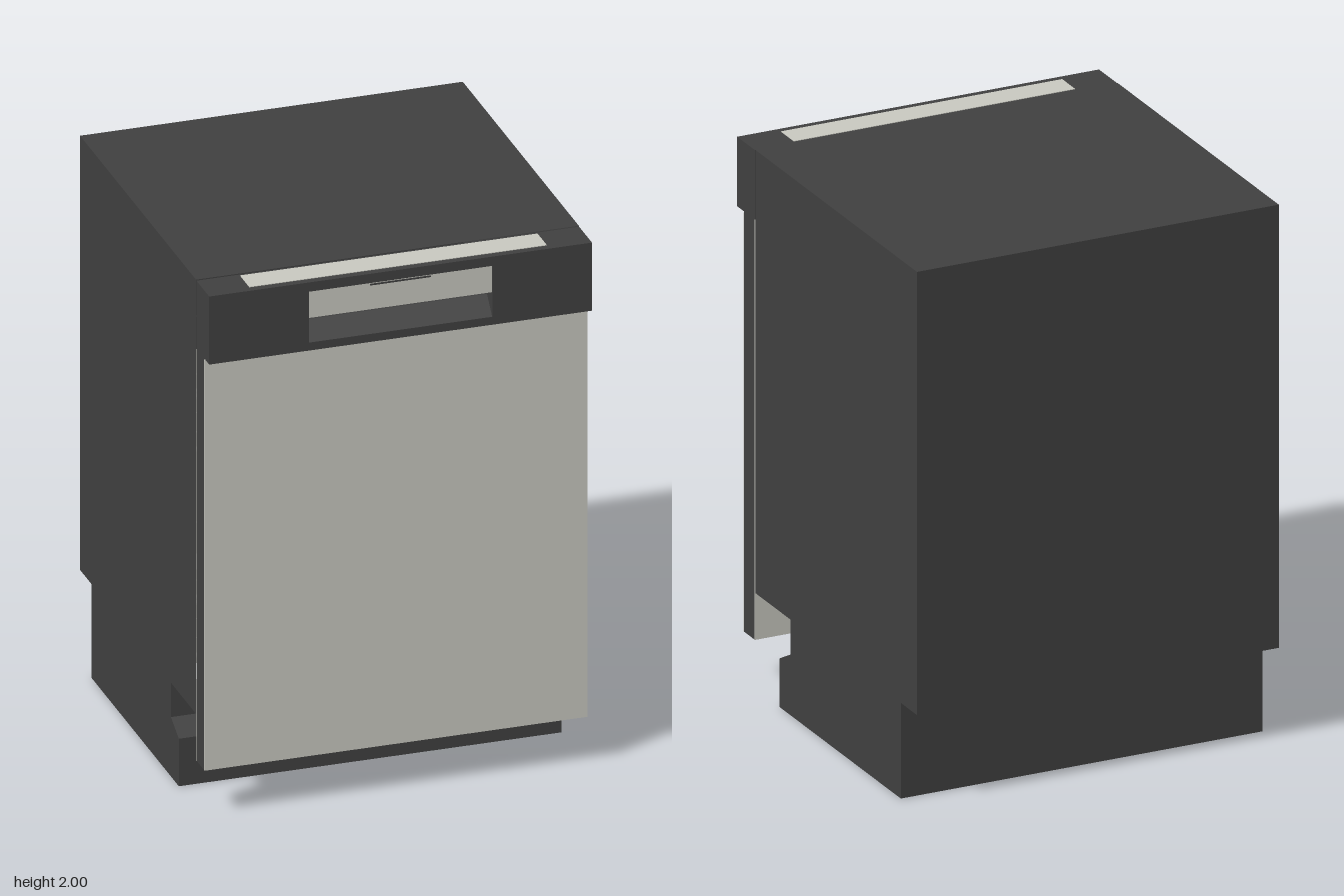
import * as THREE from 'three';

const mat = (name, color, side = THREE.FrontSide) => {
  const m = new THREE.MeshStandardMaterial({ color, side });
  m.name = name;
  return m;
};

export function createModel() {
  const root = new THREE.Group();
  root.name = 'dishwasher';
  const dark = mat('charcoal', 0x404040, THREE.DoubleSide);
  const light = mat('warmGrey', 0xc8c8c0);
  const grey = mat('linerGrey', 0xaaaaaa);
  const W = 0.695;

  const add = (name, geo, material, parent = root) => {
    const mesh = new THREE.Mesh(geo, material);
    mesh.name = name;
    parent.add(mesh);
    return mesh;
  };
  // Box given by its limits on each axis
  const box = (name, [x0, x1], [y0, y1], [z0, z1], material, parent) => {
    const mesh = add(name, new THREE.BoxGeometry(x1 - x0, y1 - y0, z1 - z0), material, parent);
    mesh.position.set((x0 + x1) / 2, (y0 + y1) / 2, (z0 + z1) / 2);
    return mesh;
  };

  // Hollow cabinet, open at the bottom and behind the door: profile as [z, y]
  const cabinet = new THREE.Group();
  cabinet.name = 'cabinet';
  root.add(cabinet);
  const profile = [
    [0.37, 0], [0.37, 0.18], [0.285, 0.225], [0.285, 0.355], [0.555, 0.355],
    [0.555, 2], [-W, 2], [-W, 0.355], [-0.57, 0.355], [-0.57, 0],
  ];
  const sideShape = new THREE.Shape(profile.map(([z, y]) => new THREE.Vector2(-z, y)));
  for (const s of [1, -1]) {
    const side = add(s > 0 ? 'leftWall' : 'rightWall', new THREE.ShapeGeometry(sideShape), dark, cabinet);
    side.rotation.y = Math.PI / 2;
    side.position.x = s * W;
  }
  for (let i = 0; i < profile.length - 1; i++) {
    if (i === 4) continue; // loading opening
    const [z0, y0] = profile[i], [z1, y1] = profile[i + 1];
    const wall = add('wall', new THREE.PlaneGeometry(2 * W, Math.hypot(z1 - z0, y1 - y0)), dark, cabinet);
    wall.position.set(0, (y0 + y1) / 2, (z0 + z1) / 2);
    wall.rotation.x = Math.atan2(z1 - z0, y1 - y0);
  }

  // Door with light front, back and grey inner liner
  const door = new THREE.Group();
  door.name = 'door';
  root.add(door);
  box('doorCore', [-W, W], [0.18, 1.74], [0.563, 0.643], dark, door);
  box('doorFront', [-W, W], [0.18, 1.735], [0.643, 0.648], light, door);
  box('doorBack', [-W, W], [0.18, 1.74], [0.559, 0.563], light, door);
  box('doorLiner', [-0.6, 0.6], [0.37, 1.9], [0.55, 0.558], grey, door);

  // Control console with a cut-out for the handle
  const panel = new THREE.Group();
  panel.name = 'console';
  root.add(panel);
  box('consoleBody', [-W, W], [1.74, 1.998], [0.559, 0.63], dark, panel);
  const face = new THREE.Shape();
  face.moveTo(-W, 1.74).lineTo(W, 1.74).lineTo(W, 1.998).lineTo(-W, 1.998).closePath();
  const hole = new THREE.Path();
  hole.moveTo(-0.333, 1.77).lineTo(-0.333, 1.963).lineTo(0.333, 1.963).lineTo(0.333, 1.77).closePath();
  face.holes.push(hole);
  add('consoleFace', new THREE.ExtrudeGeometry(face, { depth: 0.067, bevelEnabled: false }), dark, panel)
    .position.z = 0.63;
  box('topControls', [-0.54, 0.54], [1.998, 2], [0.57, 0.67], light, panel);
  box('handlePlate', [-0.333, 0.333], [1.862, 1.963], [0.63, 0.694], light, panel);
  box('handleSlot', [-0.11, 0.11], [1.953, 1.959], [0.694, 0.696], dark, panel);
  // Sloping floor of the finger grip
  const grip = new THREE.Shape();
  grip.moveTo(-0.63, 1.77).lineTo(-0.696, 1.77).lineTo(-0.64, 1.832).lineTo(-0.63, 1.832).closePath();
  const gripMesh = add('fingerGrip',
    new THREE.ExtrudeGeometry(grip, { depth: 0.666, bevelEnabled: false }), dark, panel);
  gripMesh.rotation.y = Math.PI / 2;
  gripMesh.position.x = -0.333;

  // Wire racks inside the cabinet
  const rack = (name, y) => {
    const g = new THREE.Group();
    g.name = name;
    root.add(g);
    const r = 0.004, X = 0.55, Z = 0.45, H = 0.22;
    for (let i = 0; i <= 8; i++) {
      const x = -X + (2 * X * i) / 8;
      box('wire', [x - r, x + r], [y - r, y + r], [-Z, Z], dark, g);
      for (const z of [-Z, Z]) box('upright', [x - r, x + r], [y, y + H], [z - r, z + r], dark, g);
    }
    for (let i = 0; i <= 6; i++) {
      const z = -Z + (2 * Z * i) / 6;
      box('wire', [-X, X], [y - r, y + r], [z - r, z + r], dark, g);
      for (const x of [-X, X]) box('upright', [x - r, x + r], [y, y + H], [z - r, z + r], dark, g);
    }
    for (const s of [1, -1]) {
      box('rim', [-X, X], [y + H - r, y + H + r], [s * Z - r, s * Z + r], dark, g);
      box('rim', [s * X - r, s * X + r], [y + H - r, y + H + r], [-Z, Z], dark, g);
    }
  };
  rack('lowerRack', 0.37);
  rack('upperRack', 1.15);

  // Spray arm with its hub
  add('sprayHub', new THREE.CylinderGeometry(0.1, 0.1, 0.03, 16), dark).position.y = 0.34;
  box('sprayArm', [-0.4, 0.4], [0.335, 0.355], [-0.04, 0.04], dark);

  return root;
}
